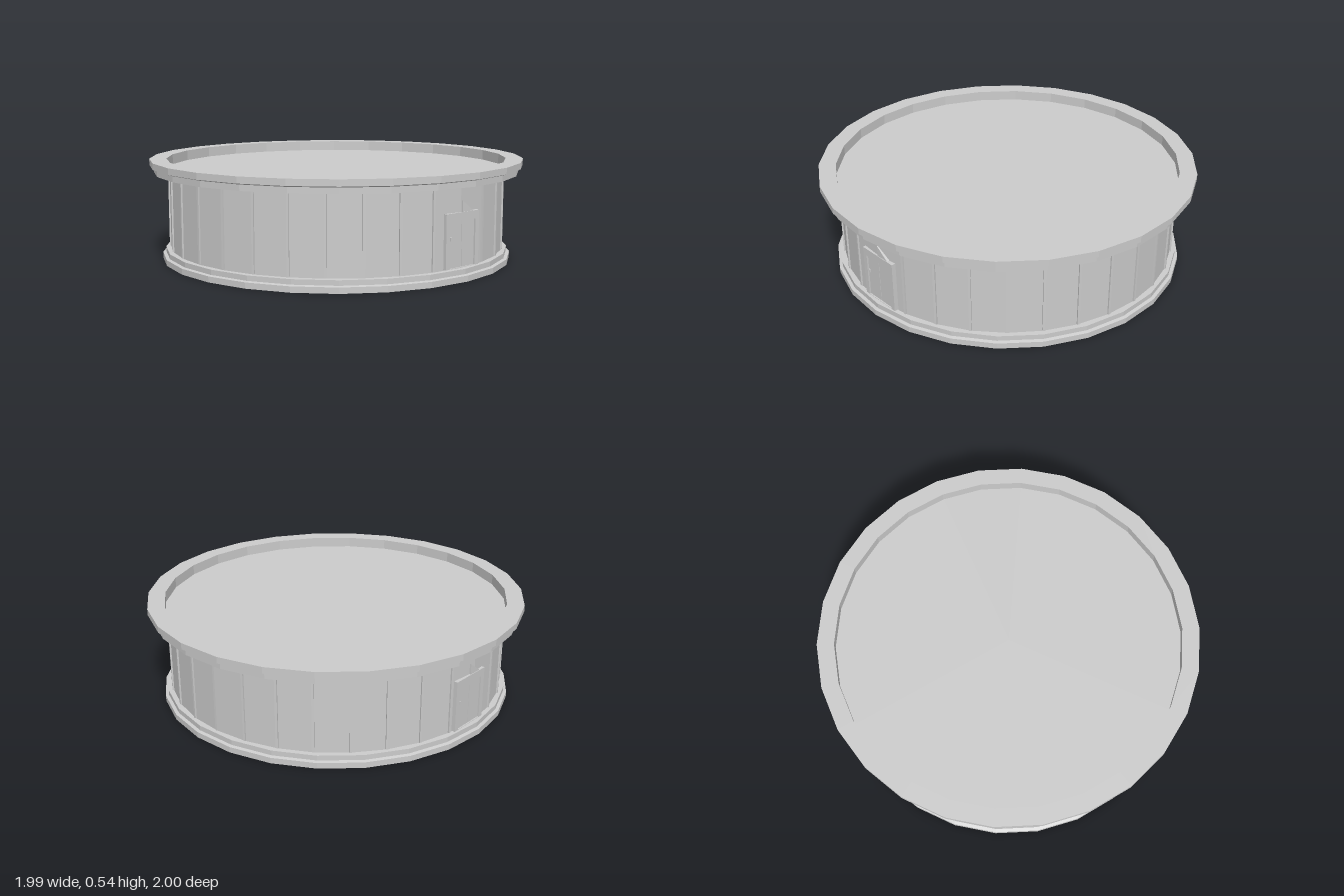
import * as THREE from 'three';

const mat = new THREE.MeshStandardMaterial({ color: 0xcccccc, flatShading: true });
const rad = THREE.MathUtils.degToRad;
const RING_SIDES = 26, RING_TURN = rad(1.7);
const WALL_SIDES = 32, WALL_TURN = rad(1.2);
const WALL_R = 0.895;

function add(parent, name, geometry, x = 0, y = 0, z = 0) {
  const mesh = new THREE.Mesh(geometry, mat);
  mesh.name = name;
  mesh.position.set(x, y, z);
  parent.add(mesh);
  return mesh;
}

// Faceted ring or disc turned from an [radius, height] profile
function turned(parent, name, profile, sides, turn) {
  const points = profile.map(([r, y]) => new THREE.Vector2(r, y));
  return add(parent, name, new THREE.LatheGeometry(points, sides, turn));
}

// Double door with raised frame and half gable, facing +z
function makeDoor(name) {
  const door = new THREE.Group();
  door.name = name;
  const frame = new THREE.Shape();
  frame.moveTo(-0.115, 0.065).lineTo(0.115, 0.065).lineTo(0.115, 0.335).lineTo(-0.115, 0.335).closePath();
  const hole = new THREE.Path();
  hole.moveTo(-0.09, 0.067).lineTo(-0.09, 0.295).lineTo(0.09, 0.295).lineTo(0.09, 0.067).closePath();
  frame.holes.push(hole);
  add(door, 'doorFrame', new THREE.ExtrudeGeometry(frame, { depth: 0.03, bevelEnabled: false }), 0, 0, 0.873);
  for (const s of [-1, 1]) {
    add(door, 'doorLeaf', new THREE.BoxGeometry(0.086, 0.228, 0.02), s * 0.0445, 0.181, 0.886);
  }
  add(door, 'doorHandle', new THREE.BoxGeometry(0.008, 0.018, 0.008), -0.078, 0.21, 0.899);
  const gable = new THREE.Shape();
  gable.moveTo(0, 0.335).lineTo(0.075, 0.335).lineTo(0, 0.39).closePath();
  add(door, 'doorGable', new THREE.ExtrudeGeometry(gable, { depth: 0.02, bevelEnabled: false }), 0, 0, 0.88);
  return door;
}

export function createModel() {
  const model = new THREE.Group();
  model.name = 'roundPavilion';

  // Stepped plinth
  turned(model, 'plinth', [
    [0, 0], [0.94, 0], [0.94, 0.03], [0.923, 0.034], [0.923, 0.06], [0.85, 0.062],
  ], RING_SIDES, RING_TURN);

  // Wall of flat panels
  turned(model, 'wall', [[WALL_R, 0.055], [WALL_R, 0.475]], WALL_SIDES, WALL_TURN);

  // Slim posts at the panel joints, left out behind the doors
  const posts = new THREE.Group();
  posts.name = 'wallPosts';
  model.add(posts);
  for (let i = 0; i < WALL_SIDES; i++) {
    const a = WALL_TURN + (i / WALL_SIDES) * Math.PI * 2;
    if (Math.abs(Math.sin(a - rad(1.6))) < 0.13) continue;
    const post = add(posts, 'post', new THREE.BoxGeometry(0.012, 0.39, 0.016),
      Math.sin(a) * WALL_R, 0.26, Math.cos(a) * WALL_R);
    post.rotation.y = a;
  }

  // Two-step cornice with a raised rim around the sunken roof
  turned(model, 'cornice', [
    [0.85, 0.465], [0.978, 0.465], [0.978, 0.495], [1.0, 0.502],
    [1.0, 0.535], [0.91, 0.535], [0.91, 0.48], [0, 0.48],
  ], RING_SIDES, RING_TURN);

  // Doors front and back
  const front = makeDoor('frontDoor');
  front.position.x = 0.026;
  const back = makeDoor('backDoor');
  back.rotation.y = Math.PI;
  back.position.x = 0.02;
  model.add(front, back);

  return model;
}
